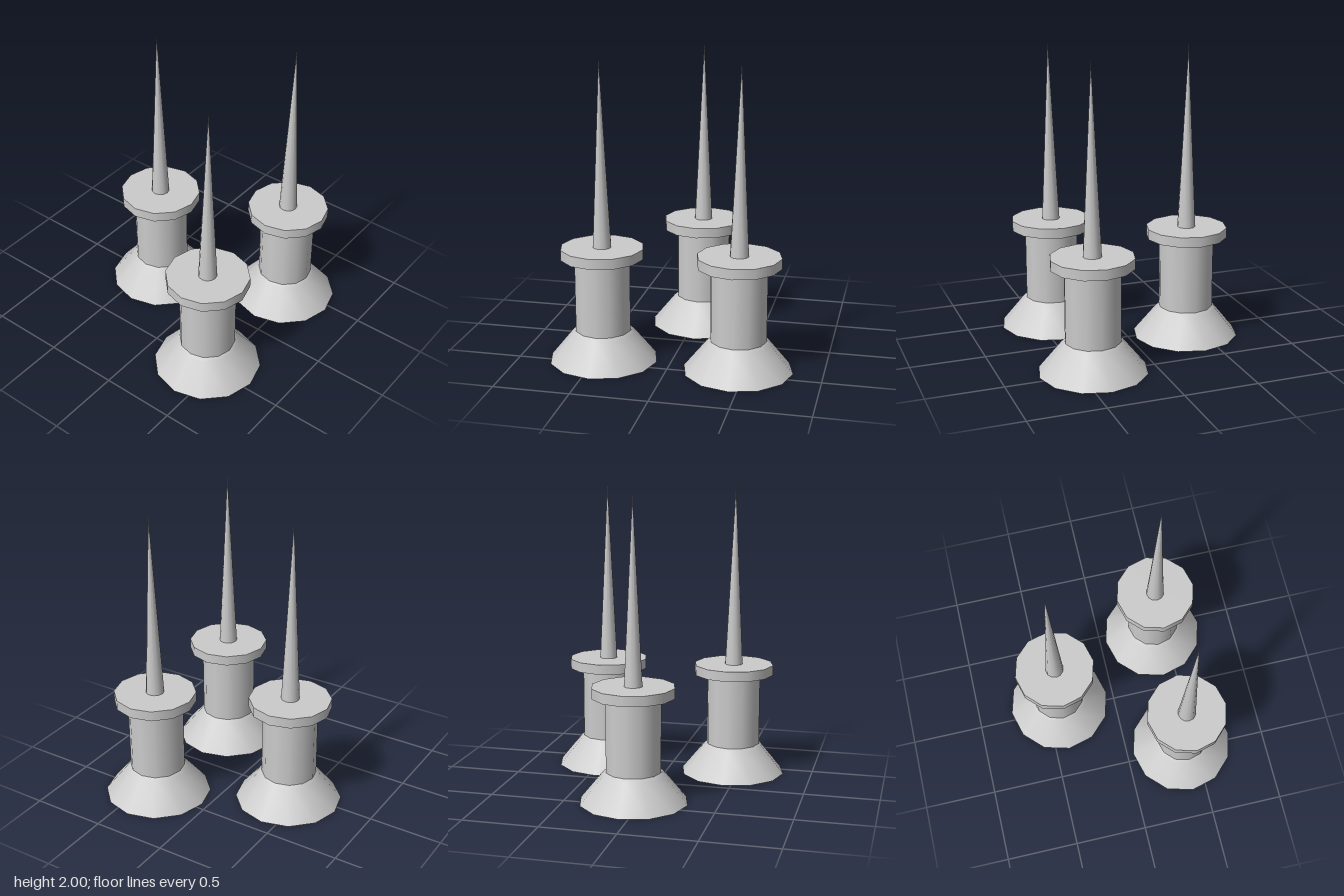
import * as THREE from 'three';

const SIDES = 12;

function createPin(material) {
  const pin = new THREE.Group();
  const add = (name, geometry, y = 0) => {
    const mesh = new THREE.Mesh(geometry, material);
    mesh.name = name;
    mesh.position.y = y;
    pin.add(mesh);
  };
  const cylinder = (rTop, rBottom, y0, y1, open) =>
    new THREE.CylinderGeometry(rTop, rBottom, y1 - y0, SIDES, 1, open).translate(0, (y0 + y1) / 2, 0);

  // flared foot with a slightly softened shoulder
  const profile = [[0.358, 0], [0.206, 0.188], [0.184, 0.207]].map(([r, y]) => new THREE.Vector2(r, y));
  add('base', new THREE.LatheGeometry(profile, SIDES));
  add('baseUnderside', new THREE.CircleGeometry(0.358, SIDES).rotateX(Math.PI / 2));

  // grip, flange and needle
  add('grip', cylinder(0.184, 0.184, 0.207, 0.7, true));
  add('flange', cylinder(0.273, 0.273, 0.7, 0.768, false));
  add('needle', cylinder(0, 0.061, 0.768, 2, true));
  return pin;
}

export function createModel() {
  const model = new THREE.Group();
  model.name = 'pushPins';
  const material = new THREE.MeshStandardMaterial({ color: 0xcccccc });

  // three pins in a triangle
  const places = { pinRight: [-0.402, -0.055], pinLeftFront: [0.402, 0.45], pinLeftBack: [0.402, -0.45] };
  for (const [name, [x, z]] of Object.entries(places)) {
    const pin = createPin(material);
    pin.name = name;
    pin.position.set(x, 0, z);
    model.add(pin);
  }
  return model;
}
